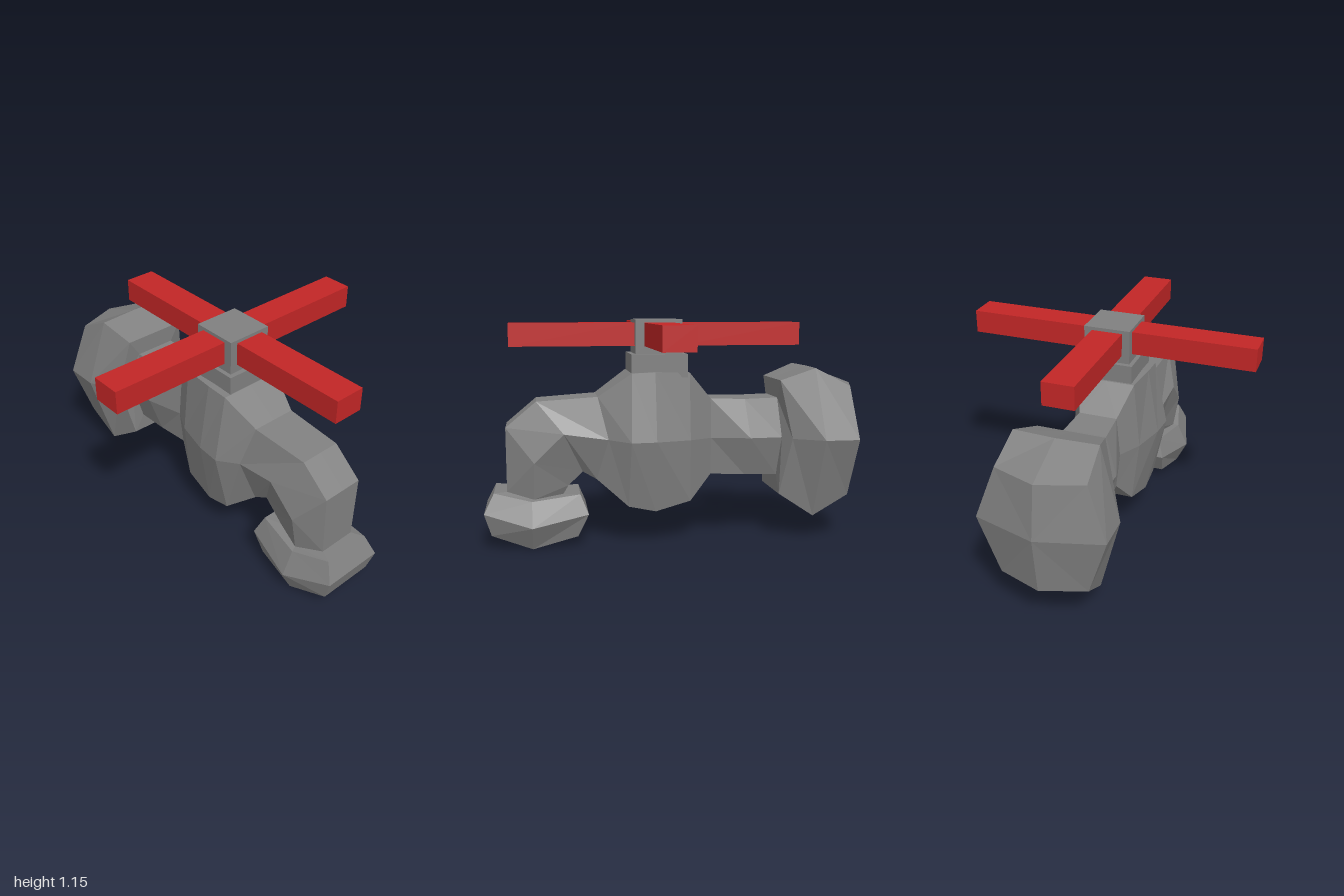
import * as THREE from 'three';

const grey = new THREE.MeshStandardMaterial({ color: 0x808080, flatShading: true });
const red = new THREE.MeshStandardMaterial({ color: 0xc22626, flatShading: true });

// Hexagonal ring: each of top, side and bottom is [z, y, halfWidth].
// bow pushes the middle of the top and bottom edges back along z.
function ring(top, side, bot, bow = 0) {
  const at = ([z, y, w], s) => new THREE.Vector3(s * w, y, s ? z : z - bow);
  return [at(side, 1), at(top, 1), at(top, 0), at(top, -1),
    at(side, -1), at(bot, -1), at(bot, 0), at(bot, 1)];
}

// Skin over consecutive rings, with optional end cap centres
function loft(name, rings, startCap, endCap) {
  const pos = [];
  const tri = (a, b, c) => [a, b, c].forEach((p) => pos.push(p.x, p.y, p.z));
  const n = rings[0].length;
  for (let i = 0; i < n; i++) {
    const j = (i + 1) % n;
    for (let k = 0; k + 1 < rings.length; k++) {
      const a = rings[k], b = rings[k + 1];
      // The left and right halves are split along mirrored diagonals
      if (i > 1 && i < 6) {
        tri(a[i], a[j], b[i]);
        tri(a[j], b[j], b[i]);
      } else {
        tri(a[i], a[j], b[j]);
        tri(a[i], b[j], b[i]);
      }
    }
    const last = rings[rings.length - 1];
    if (startCap) tri(startCap, rings[0][j], rings[0][i]);
    if (endCap) tri(last[i], last[j], endCap);
  }
  const g = new THREE.BufferGeometry();
  g.setAttribute('position', new THREE.Float32BufferAttribute(pos, 3));
  g.computeVertexNormals();
  const mesh = new THREE.Mesh(g, grey);
  mesh.name = name;
  return mesh;
}

// Box given by its limits on each axis
function box(name, [x0, x1], [y0, y1], [z0, z1], material) {
  const mesh = new THREE.Mesh(new THREE.BoxGeometry(x1 - x0, y1 - y0, z1 - z0), material);
  mesh.position.set((x0 + x1) / 2, (y0 + y1) / 2, (z0 + z1) / 2);
  mesh.name = name;
  return mesh;
}

export function createModel() {
  const model = new THREE.Group();
  model.name = 'valveTap';

  // Rings shared by neighbouring parts
  const pipeStart = ring([-0.525, 0.745, 0.11], [-0.54, 0.54, 0.16], [-0.525, 0.335, 0.11]);
  const elbowStart = ring([0.42, 0.765, 0.12], [0.37, 0.55, 0.175], [0.43, 0.34, 0.12]);
  const spoutEnd = ring([0.885, 0.285, 0.10], [0.75, 0.25, 0.15], [0.60, 0.265, 0.10]);

  // Large domed end piece at the back
  const wallEnd = loft('wallEnd', [
    ring([-0.885, 0.81, 0.22], [-0.91, 0.54, 0.317], [-0.885, 0.235, 0.22], 0.075),
    ring([-0.70, 0.905, 0.21], [-0.73, 0.54, 0.317], [-0.70, 0.125, 0.21], 0.01),
    ring([-0.525, 0.84, 0.17], [-0.58, 0.54, 0.225], [-0.525, 0.24, 0.17]),
    pipeStart,
  ], new THREE.Vector3(0, 0.54, -1));

  // Pipe and swollen valve body
  const valveBody = loft('valveBody', [
    pipeStart,
    ring([-0.35, 0.74, 0.11], [-0.37, 0.54, 0.17], [-0.35, 0.34, 0.11]),
    ring([-0.17, 0.745, 0.10], [-0.17, 0.54, 0.12], [-0.17, 0.345, 0.10]),
    ring([-0.05, 0.885, 0.15], [-0.05, 0.54, 0.185], [-0.055, 0.215, 0.15]),
    ring([0.13, 0.89, 0.17], [0.13, 0.54, 0.23], [0.13, 0.17, 0.17]),
    ring([0.25, 0.885, 0.17], [0.26, 0.54, 0.24], [0.27, 0.20, 0.17]),
    elbowStart,
  ]);

  // Elbow turning down into the spout
  const elbow = loft('elbow', [
    elbowStart,
    ring([0.73, 0.745, 0.11], [0.595, 0.585, 0.185], [0.50, 0.38, 0.11]),
    ring([0.885, 0.615, 0.11], [0.745, 0.44, 0.18], [0.575, 0.31, 0.11]),
    spoutEnd,
  ]);

  // Outlet collar with a hollow underneath
  const outletCollar = loft('outletCollar', [
    spoutEnd,
    ring([0.95, 0.285, 0.13], [0.76, 0.245, 0.18], [0.515, 0.265, 0.13]),
    ring([1.0, 0.185, 0.165], [0.76, 0.12, 0.238], [0.475, 0.165, 0.165]),
    ring([0.965, 0.07, 0.15], [0.76, 0.0, 0.18], [0.53, 0.05, 0.15]),
    ring([0.91, 0.07, 0.11], [0.76, 0.03, 0.14], [0.59, 0.05, 0.11]),
    ring([0.87, 0.17, 0.08], [0.76, 0.14, 0.11], [0.64, 0.16, 0.08]),
  ], null, new THREE.Vector3(0, 0.16, 0.76));

  // The pipework sits slightly off the centre of the handle
  const pipework = new THREE.Group();
  pipework.name = 'pipework';
  pipework.add(wallEnd, valveBody, elbow, outletCollar);
  pipework.position.x = -0.009;
  model.add(pipework);

  // Stem and hub of the handle
  model.add(box('stem', [-0.142, 0.148], [0.86, 0.98], [-0.04, 0.25], grey));
  model.add(box('hub', [-0.12, 0.12], [0.98, 1.155], [-0.015, 0.225], grey));

  // Four arms of the cross handle
  const handle = new THREE.Group();
  handle.name = 'crossHandle';
  const h = [1.02, 1.138];
  handle.add(
    box('leftArm', [0.12, 0.75], h, [0.025, 0.18], red),
    box('rightArm', [-0.75, -0.12], h, [0.025, 0.18], red),
    box('frontArm', [-0.08, 0.08], h, [0.225, 0.86], red),
    box('backArm', [-0.08, 0.08], h, [-0.645, -0.015], red),
  );
  model.add(handle);
  return model;
}
